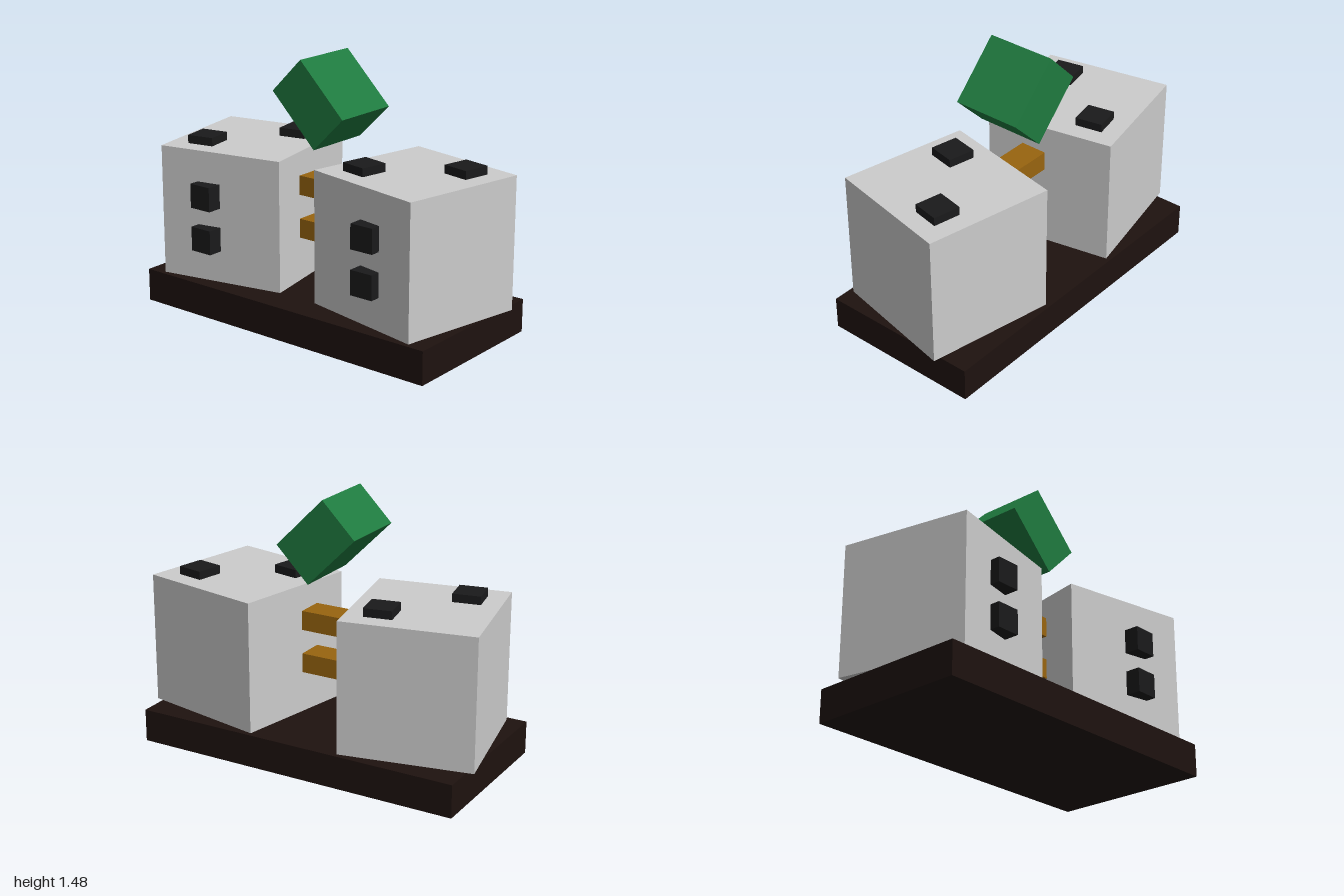
import * as THREE from 'three';

const material = (color) => new THREE.MeshStandardMaterial({ color });

const grey = material(0xcccccc);
const dark = material(0x1a1a1b);
const brown = material(0x1e120f);
const gold = material(0x98640f);
const green = material(0x1f7a3f);

function box(name, [w, h, d], [x, y, z], mat) {
  const mesh = new THREE.Mesh(new THREE.BoxGeometry(w, h, d), mat);
  mesh.name = name;
  mesh.position.set(x, y, z);
  return mesh;
}

export function createModel() {
  const model = new THREE.Group();
  model.name = 'twinBlocksOnBase';

  // Base slab
  const baseH = 0.187;
  model.add(box('base', [1.92, baseH, 0.93], [0, baseH / 2, 0], brown));

  // Two cubes turned towards each other, with pips on top and in front
  const size = 0.745;
  for (const side of [-1, 1]) {
    const label = side > 0 ? 'left' : 'right';
    const block = new THREE.Group();
    block.name = label + 'Block';
    block.position.set(side * 0.561, baseH, 0);
    block.rotation.y = -side * 0.2;
    block.add(box(label + 'Cube', [size, size, size], [0, size / 2, 0], grey));
    for (const s of [-1, 1]) {
      block.add(box(label + 'TopPip', [0.157, 0.09, 0.157], [s * 0.187, size + 0.002, -s * 0.187], dark));
    }
    model.add(block);

    // Front pips stay square to the base
    for (const y of [0.437, 0.685]) {
      model.add(box(label + 'FrontPip', [0.138, 0.138, 0.14], [side * 0.558, y, 0.381], dark));
    }
  }

  // Bars bridging the gap
  for (const y of [0.499, 0.747]) {
    model.add(box('connectorBar', [0.314, 0.11, 0.157], [0, y, 0], gold));
  }

  // Tilted block above the gap
  const tilted = box('tiltedBlock', [0.4, 0.273, 0.402], [0, 1.244, 0], green);
  tilted.rotation.z = -Math.PI / 4;
  model.add(tilted);

  return model;
}
